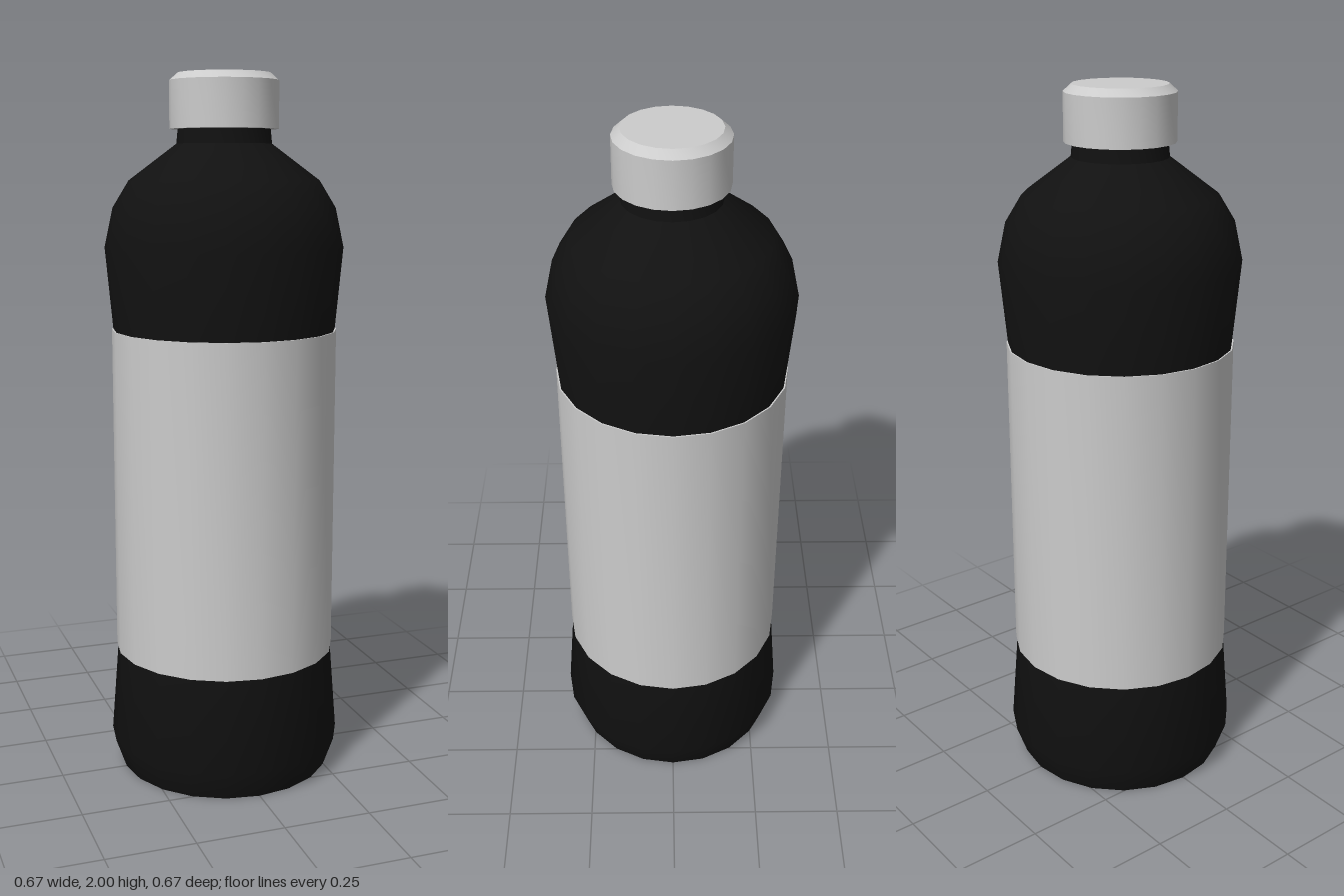
import * as THREE from 'three';
import { toCreasedNormals } from 'three/addons/utils/BufferGeometryUtils.js';

const SIDES = 20;

// Revolve a [radius, height] profile, listed from bottom to top on the outside
function turned(name, profile, color) {
  const points = profile.map(([r, y]) => new THREE.Vector2(r, y));
  const geometry = toCreasedNormals(new THREE.LatheGeometry(points, SIDES), 0.6);
  const mesh = new THREE.Mesh(geometry, new THREE.MeshStandardMaterial({ color }));
  mesh.name = name;
  return mesh;
}

export function createModel() {
  const bottle = new THREE.Group();
  bottle.name = 'bottle';

  // Dark body: chamfered foot, slightly waisted middle, rounded shoulder, short neck
  bottle.add(turned('body', [
    [0, 0], [0.307, 0], [0.337, 0.085], [0.316, 0.355], [0.316, 1.295],
    [0.337, 1.525], [0.313, 1.635], [0.267, 1.71], [0.133, 1.81],
    [0.128, 1.86], [0, 1.86],
  ], 0x111111));

  // Wrap-around label, just proud of the body
  bottle.add(turned('label', [
    [0.314, 0.355], [0.32, 0.355], [0.32, 1.295], [0.314, 1.295],
  ], 0xcccccc));

  // Screw cap with a bevelled top edge
  bottle.add(turned('cap', [
    [0, 1.85], [0.152, 1.85], [0.152, 1.98], [0.13, 2], [0, 2],
  ], 0xcccccc));

  return bottle;
}
